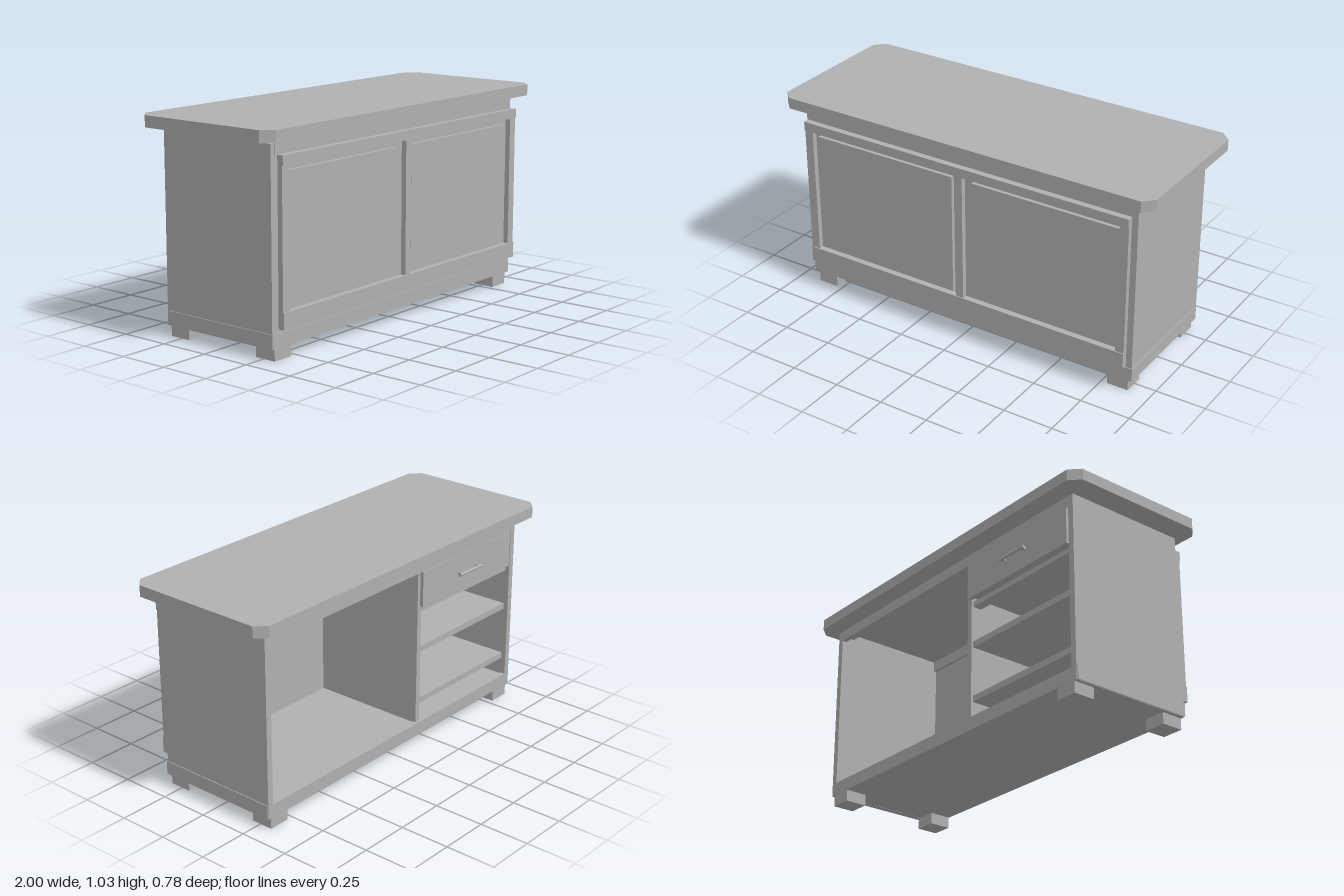
import * as THREE from 'three';

export function createModel() {
  const root = new THREE.Group();
  root.name = 'counterCabinet';
  const grey = new THREE.MeshStandardMaterial({ color: 0xb0b0b0 });
  grey.name = 'plain grey';

  // box given by its min and max on each axis
  const box = (name, [x0, x1], [y0, y1], [z0, z1], parent = root) => {
    const m = new THREE.Mesh(new THREE.BoxGeometry(x1 - x0, y1 - y0, z1 - z0), grey);
    m.name = name;
    m.position.set((x0 + x1) / 2, (y0 + y1) / 2, (z0 + z1) / 2);
    parent.add(m);
    return m;
  };
  const group = (name) => {
    const g = new THREE.Group();
    g.name = name;
    root.add(g);
    return g;
  };
  // same interval on the other side of zero
  const side = (s, a, b) => (s > 0 ? [a, b] : [-b, -a]);

  // worktop with clipped corners
  const X = 1, Z = 0.39, C = 0.05;
  const outline = new THREE.Shape([
    [X - C, -Z], [X, -Z + C], [X, Z - C], [X - C, Z],
    [-X + C, Z], [-X, Z - C], [-X, -Z + C], [-X + C, -Z],
  ].map(([x, y]) => new THREE.Vector2(x, y)));
  const topGeo = new THREE.ExtrudeGeometry(outline, { depth: 0.055, bevelEnabled: false });
  topGeo.rotateX(-Math.PI / 2);
  const worktop = new THREE.Mesh(topGeo, grey);
  worktop.name = 'worktop';
  worktop.position.y = 0.975;
  root.add(worktop);

  // carcass: sides, plinth bands and feet mirrored
  const carcass = group('carcass');
  for (const s of [1, -1]) {
    box('sidePanel', side(s, 0.875, 0.906), [0.055, 0.958], [-0.318, 0.318], carcass);
    box('plinthBand', side(s, 0.9, 0.91), [0.057, 0.125], [-0.312, 0.313], carcass);
    for (const t of [1, -1]) {
      box('foot', side(s, 0.78, 0.888), [0, 0.06], side(t, 0.205, 0.315), carcass);
    }
  }
  box('floorPanel', [-0.88, 0.88], [0.056, 0.115], [-0.3, 0.3], carcass);
  box('frontPanel', [-0.88, 0.88], [0.056, 0.957], [0.29, 0.317], carcass);
  box('frontBaseRail', [-0.91, 0.91], [0.06, 0.125], [0.31, 0.322], carcass);
  box('frontTopRail', [-0.88, 0.88], [0.905, 0.959], [0.275, 0.32], carcass);
  box('backBaseRail', [-0.88, 0.88], [0.056, 0.12], [-0.318, -0.29], carcass);
  box('backTopRail', [-0.88, 0.88], [0.905, 0.958], [-0.318, -0.295], carcass);
  box('topCleat', [-0.89, 0.89], [0.93, 0.968], [-0.3, -0.25], carcass);

  // front frame with two openings
  const frame = group('frontFrame');
  box('frameTopRail', [-0.885, 0.885], [0.866, 0.912], [0.337, 0.368], frame);
  box('frameBottomRail', [-0.885, 0.885], [0.148, 0.225], [0.337, 0.368], frame);
  for (const s of [1, -1]) {
    box('frameStile', side(s, 0.84, 0.885), [0.225, 0.866], [0.337, 0.363], frame);
    // recessed panel behind each opening
    box('recessedPanel', side(s, 0.055, 0.83), [0.21, 0.835], [0.317, 0.337], frame);
  }
  box('middleStile', [-0.02, 0.02], [0.225, 0.866], [0.337, 0.363], frame);

  // inside: divider and shelves
  const interior = group('interior');
  box('divider', [-0.18, -0.152], [0.11, 0.87], [-0.305, 0.29], interior);
  box('dividerPost', [-0.18, -0.152], [0.87, 0.93], [-0.305, -0.26], interior);
  for (const y of [0.205, 0.48]) {
    box('shelf', [-0.876, -0.18], [y, y + 0.03], [-0.295, 0.29], interior);
  }
  box('drawerRail', [-0.876, -0.18], [0.69, 0.715], [-0.295, -0.25], interior);

  // drawer with open box
  const drawer = group('drawer');
  box('drawerFront', [-0.865, -0.17], [0.725, 0.905], [-0.322, -0.3], drawer);
  box('drawerBottom', [-0.86, -0.19], [0.73, 0.745], [-0.3, 0.24], drawer);
  box('drawerBack', [-0.86, -0.19], [0.745, 0.87], [0.225, 0.24], drawer);
  box('drawerSide', [-0.86, -0.845], [0.745, 0.87], [-0.3, 0.225], drawer);
  box('drawerSide', [-0.205, -0.19], [0.745, 0.87], [-0.3, 0.225], drawer);

  // drawer handle: round bar on two posts
  const bar = new THREE.Mesh(new THREE.CylinderGeometry(0.008, 0.008, 0.17, 12), grey);
  bar.name = 'handleBar';
  bar.rotation.z = Math.PI / 2;
  bar.position.set(-0.515, 0.814, -0.343);
  drawer.add(bar);
  for (const dx of [-0.07, 0.07]) {
    box('handlePost', [-0.521 + dx, -0.509 + dx], [0.808, 0.82], [-0.343, -0.32], drawer);
  }
  return root;
}
